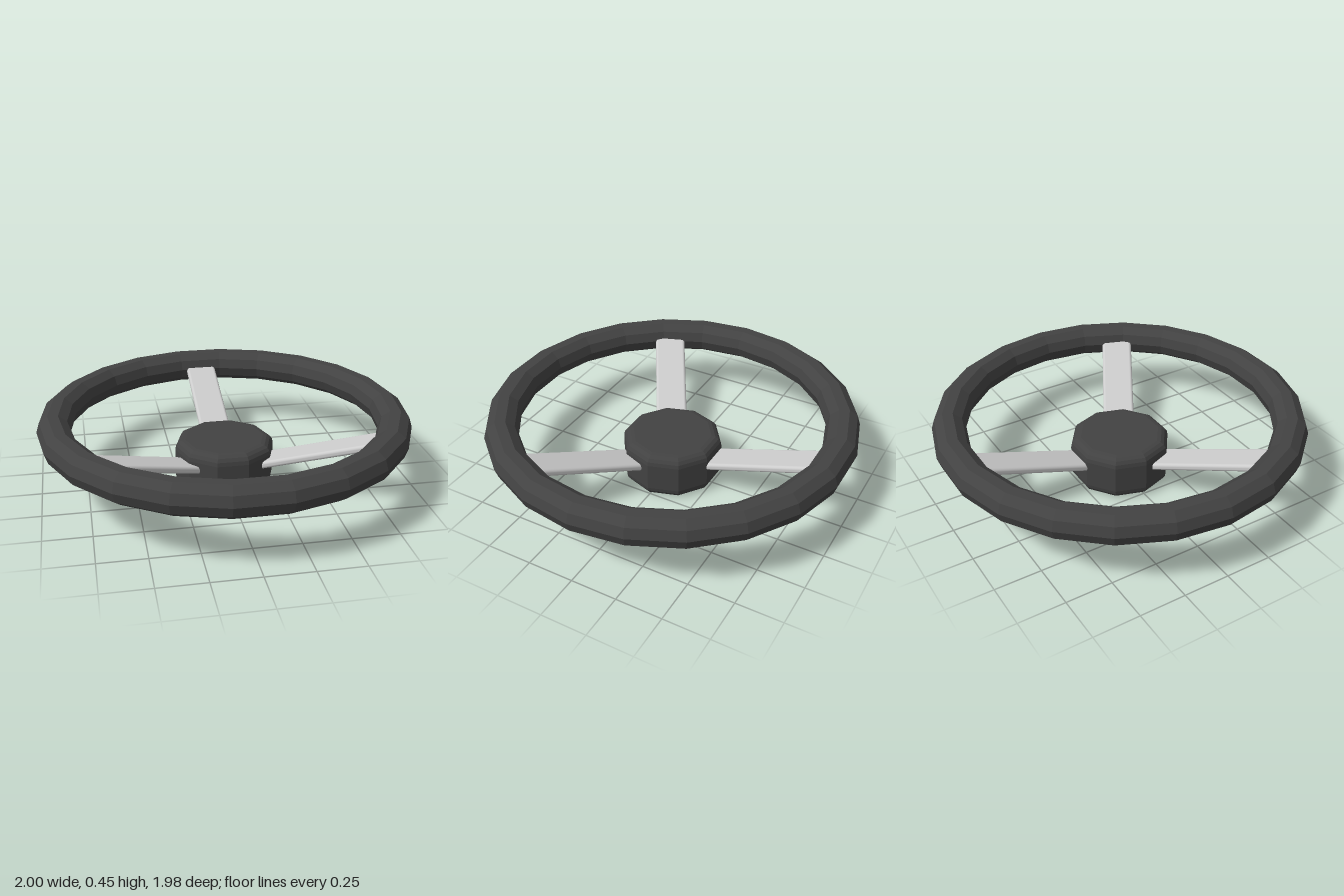
import * as THREE from 'three';
import { RoundedBoxGeometry } from 'three/addons/geometries/RoundedBoxGeometry.js';

export function createModel() {
  const model = new THREE.Group();
  model.name = 'steeringWheel';

  const dark = new THREE.MeshStandardMaterial({ color: 0x424242, flatShading: true });
  const grey = new THREE.MeshStandardMaterial({ color: 0xcccccc });

  // Low-poly rim
  const rim = new THREE.Mesh(new THREE.TorusGeometry(0.91, 0.09, 10, 22).rotateX(-Math.PI / 2), dark);
  rim.name = 'rim';
  rim.position.y = 0.362;
  model.add(rim);

  // Ten-sided hub with rounded top and bottom edges
  const radius = 0.272, height = 0.258, bevel = 0.055, steps = 4;
  const profile = [new THREE.Vector2(0, 0)];
  for (const [cy, start] of [[bevel, -Math.PI / 2], [height - bevel, 0]]) {
    for (let i = 0; i <= steps; i++) {
      const a = start + (i / steps) * Math.PI / 2;
      profile.push(new THREE.Vector2(radius - bevel + bevel * Math.cos(a), cy + bevel * Math.sin(a)));
    }
  }
  profile.push(new THREE.Vector2(0, height));
  const hub = new THREE.Mesh(new THREE.LatheGeometry(profile, 10, Math.PI / 2), dark);
  hub.name = 'hub';
  model.add(hub);

  // Three flat spokes rising from the hub into the rim
  const inner = 0.16, outer = 0.88, slope = 0.335;
  const mid = (inner + outer) / 2;
  const length = (outer - inner) * Math.hypot(1, slope);
  const spokeGeometry = new RoundedBoxGeometry(0.175, 0.04, length, 3, 0.016);
  ['backSpoke', 'leftSpoke', 'rightSpoke'].forEach((name, i) => {
    const arm = new THREE.Group();
    arm.name = name;
    const bar = new THREE.Mesh(spokeGeometry, grey);
    bar.name = name + 'Bar';
    bar.position.set(0, 0.165 + (mid - 0.26) * slope, -mid);
    bar.rotation.x = Math.atan(slope);
    arm.add(bar);
    arm.rotation.y = -i * Math.PI * 2 / 3;
    model.add(arm);
  });

  return model;
}
